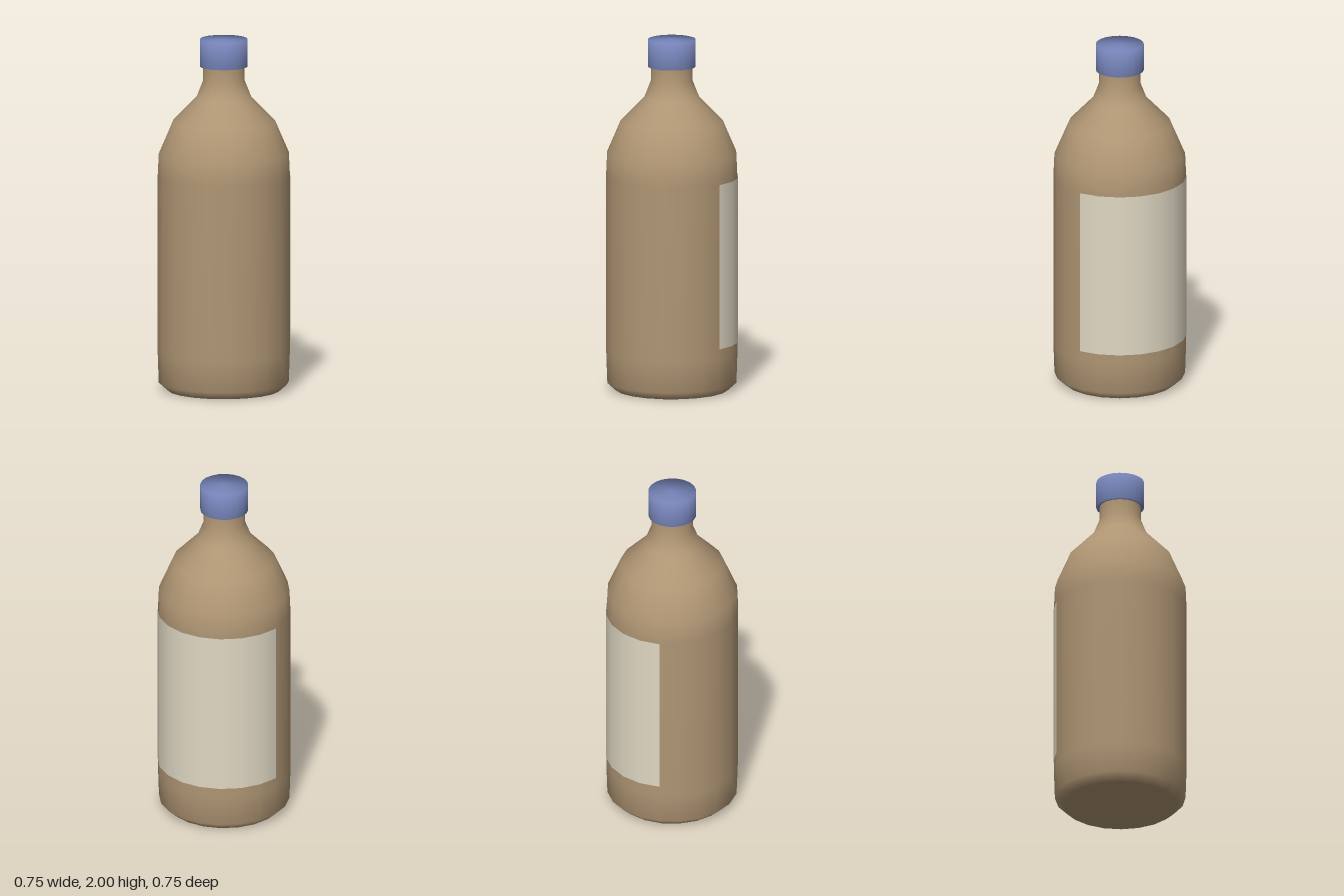
import * as THREE from 'three';

const SIDES = 20;

// Smooth surface of revolution from [radius, height] pairs, listed bottom to top
function turned(name, profile, color, segments = SIDES, start = 0, sweep = Math.PI * 2) {
  const points = profile.map(([r, y]) => new THREE.Vector2(r, y));
  const geometry = new THREE.LatheGeometry(points, segments, start, sweep);
  const mesh = new THREE.Mesh(geometry, new THREE.MeshStandardMaterial({ color }));
  mesh.name = name;
  return mesh;
}

export function createModel() {
  const model = new THREE.Group();
  model.name = 'bottle';

  // Body with bevelled foot, sloping shoulder and straight neck
  model.add(turned('body', [
    [0, 0], [0.317, 0], [0.367, 0.045], [0.373, 0.22], [0.373, 1.22],
    [0.367, 1.35], [0.29, 1.53], [0.155, 1.67], [0.117, 1.765], [0.117, 1.86],
  ], 0xb09674));

  // Screw cap, closed on top, with a lip around the neck
  model.add(turned('cap', [
    [0.115, 1.845], [0.135, 1.845], [0.135, 2], [0, 2],
  ], 0x7482b6));

  // Paper label wrapped around the back, 72 degrees to either side
  const half = THREE.MathUtils.degToRad(72);
  const label = turned('label', [[0.3755, 0.275], [0.3755, 1.215]],
    0xe0d8c4, 8, Math.PI - half, half * 2);
  label.material.side = THREE.DoubleSide;
  model.add(label);

  return model;
}
